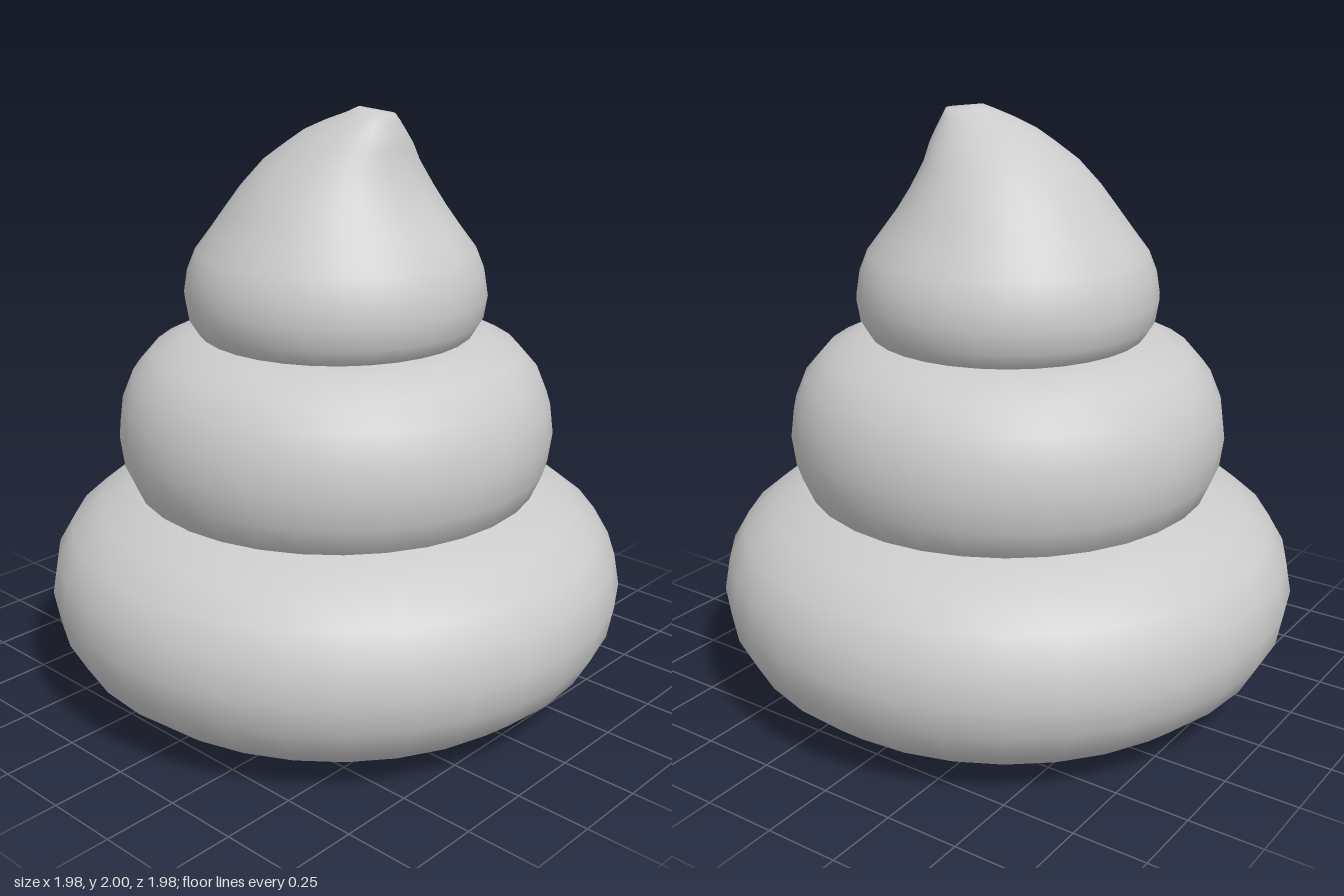
import * as THREE from 'three';
import { mergeVertices } from 'three/addons/utils/BufferGeometryUtils.js';

const SIDES = 32;

// Revolves [radius, y] pairs; an optional rule moves the vertices before smoothing.
function tier(name, profile, material, move) {
  let geo = new THREE.LatheGeometry(profile.map(([r, y]) => new THREE.Vector2(r, y)), SIDES);
  geo.deleteAttribute('uv');
  geo.deleteAttribute('normal');
  if (move) {
    const pos = geo.attributes.position;
    const v = new THREE.Vector3();
    for (let i = 0; i < pos.count; i++) {
      move(v.fromBufferAttribute(pos, i));
      pos.setXYZ(i, v.x, v.y, v.z);
    }
  }
  geo = mergeVertices(geo, 1e-4);
  geo.computeVertexNormals();
  const mesh = new THREE.Mesh(geo, material);
  mesh.name = name;
  return mesh;
}

export function createModel() {
  const group = new THREE.Group();
  group.name = 'swirl';
  const material = new THREE.MeshStandardMaterial({ color: 0xcccccc });

  // Wide bottom coil
  group.add(tier('bottomCoil', [
    [0, 0], [0.36, 0.003], [0.55, 0.012], [0.7, 0.04], [0.82, 0.09], [0.915, 0.17], [0.97, 0.27],
    [0.99, 0.38], [0.97, 0.49], [0.915, 0.585], [0.82, 0.662], [0.69, 0.72], [0.54, 0.75], [0, 0.76],
  ], material));

  // Middle coil, sunk slightly into the bottom one
  group.add(tier('middleCoil', [
    [0, 0.64], [0.52, 0.645], [0.62, 0.675], [0.688, 0.73], [0.727, 0.82], [0.74, 0.92],
    [0.727, 1.02], [0.688, 1.115], [0.62, 1.193], [0.525, 1.24], [0.42, 1.265], [0, 1.27],
  ], material));

  // Peak: [y, width radius, depth radius, sideways shift] for each ring
  const peak = [
    [1.17, 0, 0, 0], [1.18, 0.32, 0.32, 0], [1.215, 0.41, 0.41, 0], [1.26, 0.465, 0.465, 0],
    [1.31, 0.495, 0.495, 0], [1.385, 0.507, 0.507, 0], [1.46, 0.495, 0.495, 0],
    [1.53, 0.468, 0.465, 0], [1.6, 0.415, 0.412, 0], [1.67, 0.36, 0.368, 0],
    [1.74, 0.312, 0.32, 0.005], [1.82, 0.258, 0.255, 0.023], [1.88, 0.21, 0.2, 0.06],
    [1.92, 0.175, 0.155, 0.083], [1.955, 0.127, 0.112, 0.117], [1.982, 0.085, 0.07, 0.15],
    [2.0, 0, 0, 0.1],
  ];
  // The upper rings lean to the left and end in a small hooked tip
  group.add(tier('peak', peak.map(([y, , rz]) => [rz, y]), material, (v) => {
    const [, rx, rz, shift] = peak.find((ring) => Math.abs(ring[0] - v.y) < 1e-4);
    v.x = shift + (rz > 0 ? (v.x * rx) / rz : 0);
  }));

  return group;
}
